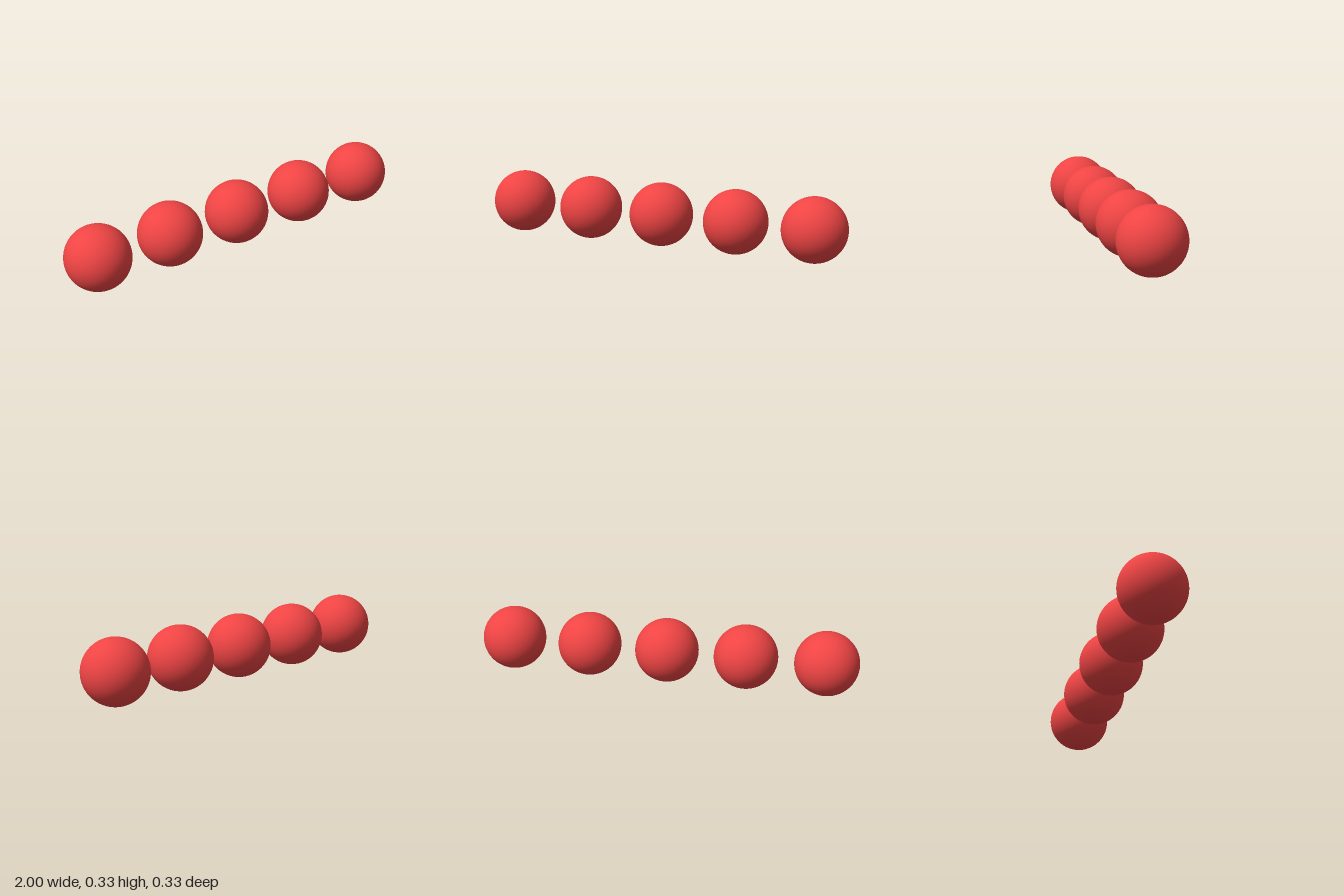
import * as THREE from 'three';

const COUNT = 5;
const RADIUS = 1 / 6;
const SPACING = 2.5 * RADIUS;

export function createModel() {
  const model = new THREE.Group();
  model.name = 'ballRow';

  const geometry = new THREE.SphereGeometry(RADIUS, 64, 48);
  const material = new THREE.MeshStandardMaterial({ color: 0xef4444 });

  // Evenly spaced balls resting on the ground
  for (let i = 0; i < COUNT; i++) {
    const ball = new THREE.Mesh(geometry, material);
    ball.name = `ball${i + 1}`;
    ball.position.set((i - (COUNT - 1) / 2) * SPACING, RADIUS, 0);
    model.add(ball);
  }
  return model;
}
